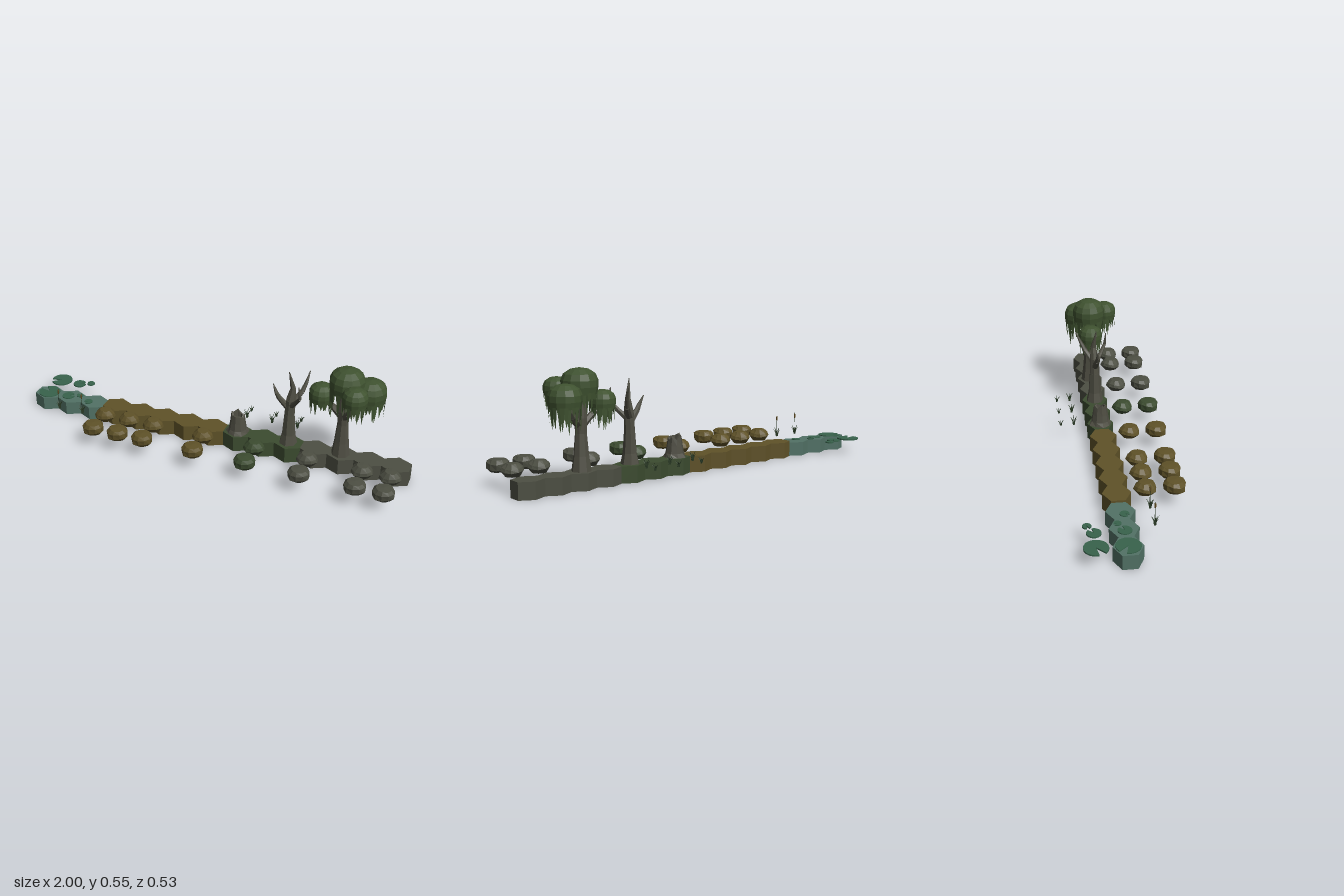
import * as THREE from 'three';
import { mergeGeometries } from 'three/addons/utils/BufferGeometryUtils.js';

function makeMaterial(name, color, side = THREE.FrontSide) {
  const m = new THREE.MeshStandardMaterial({ color, flatShading: true, side });
  m.name = name;
  return m;
}

// small seeded random
function seeded(seed) {
  return () => (seed = (seed * 16807) % 2147483647) / 2147483647;
}

// tapered limb through points [x, y, z, radius]
function limb(points, sides = 6) {
  const parts = [];
  const up = new THREE.Vector3(0, 1, 0);
  for (let i = 0; i + 1 < points.length; i++) {
    const [ax, ay, az, ar] = points[i];
    const [bx, by, bz, br] = points[i + 1];
    const a = new THREE.Vector3(ax, ay, az);
    const b = new THREE.Vector3(bx, by, bz);
    const dir = b.clone().sub(a);
    const g = new THREE.CylinderGeometry(br, ar, dir.length(), sides);
    g.applyQuaternion(new THREE.Quaternion().setFromUnitVectors(up, dir.clone().normalize()));
    g.translate((ax + bx) / 2, (ay + by) / 2, (az + bz) / 2);
    parts.push(g);
  }
  return mergeGeometries(parts);
}

// lathe whose vertices can be shifted by a rule of angle
function turned(profile, sides, rule) {
  const g = new THREE.LatheGeometry(profile.map(p => new THREE.Vector2(p[0], p[1])), sides);
  if (rule) {
    const p = g.attributes.position;
    for (let i = 0; i < p.count; i++) {
      const v = new THREE.Vector3().fromBufferAttribute(p, i);
      rule(v, Math.atan2(v.x, v.z));
      p.setXYZ(i, v.x, v.y, v.z);
    }
  }
  return g;
}

export function createModel() {
  const model = new THREE.Group();
  const water = makeMaterial('murky water', 0x527266);
  const lily = makeMaterial('lily green', 0x38634c);
  const mud = makeMaterial('mud brown', 0x5f5228);
  const moss = makeMaterial('moss green', 0x3c4c30);
  const stone = makeMaterial('stone grey', 0x4d4f43);
  const bark = makeMaterial('bark grey', 0x4e4d42);
  const foliage = makeMaterial('willow green', 0x3f5230, THREE.DoubleSide);
  const reed = makeMaterial('reed green', 0x2b3b26);
  const cattailBrown = makeMaterial('cattail brown', 0x5e4a22);

  const add = (name, geometry, material, x = 0, y = 0, z = 0) => {
    const mesh = new THREE.Mesh(geometry, material);
    mesh.name = name;
    mesh.position.set(x, y, z);
    model.add(mesh);
    return mesh;
  };

  const rowZ = -0.045;
  const step = 2 / 15;

  // row of hexagonal ground tiles
  for (let i = 0; i < 15; i++) {
    const mat = i < 3 ? water : i < 8 ? mud : i < 11 ? moss : stone;
    const h = i < 3 ? 0.07 : 0.08;
    const g = new THREE.CylinderGeometry(0.0667, 0.0667, h, 6);
    g.scale(2 / Math.sqrt(3), 1, 1);
    add('groundTile', g, mat, -1 + step * (i + 0.5), h / 2, rowZ);
  }

  // lily pads: x, z, radius, notch direction
  const pads = [
    [-0.933, -0.045, 0.056, 2.6], [-0.82, -0.045, 0.032, 0.5], [-0.765, -0.07, 0.018, 2],
    [-0.695, -0.03, 0.022, 4], [-0.933, -0.18, 0.055, 3.6], [-0.825, -0.178, 0.033, 0.5],
    [-0.77, -0.203, 0.02, 3.4],
  ];
  for (const [x, z, r, notch] of pads) {
    const s = new THREE.Shape();
    s.moveTo(0, 0);
    s.absarc(0, 0, r, notch + 0.3, notch + Math.PI * 2 - 0.3, false);
    s.lineTo(0, 0);
    const g = new THREE.ExtrudeGeometry(s, { depth: 0.007, bevelEnabled: false, curveSegments: 8 });
    g.rotateX(-Math.PI / 2);
    add('lilyPad', g, lily, x, 0.0675, z);
  }

  // boulders in two rows
  const blockProfile = [[0, 0.07], [0.034, 0.07], [0.05, 0.085], [0.052, 0.112], [0.038, 0.127], [0, 0.13]];
  const roundProfile = [[0, 0.07], [0.032, 0.07], [0.053, 0.095], [0.048, 0.11], [0.028, 0.129], [0, 0.13]];
  const lumpy = (v, a) => {
    const k = 1 + 0.05 * Math.sin(a * 3 + v.y * 50);
    v.x *= k;
    v.z *= k;
    v.y += v.y > 0.08 && v.y < 0.125 ? 0.005 * Math.sin(a * 2) : 0;
  };
  const boulders = [[0.085, turned(roundProfile, 10, lumpy)], [0.22, turned(blockProfile, 10, lumpy)]];
  for (const i of [3, 4, 5, 7, 9, 11, 13, 14]) {
    const mat = i < 8 ? mud : i < 11 ? moss : stone;
    for (const [z, g] of boulders) add('boulder', g, mat, -1 + step * (i + 0.5), 0, z);
  }

  // tufts of curved blades
  const tuft = (count, height, spread, thick) => {
    const blades = [];
    for (let i = 0; i < count; i++) {
      const a = (i / count) * Math.PI * 2;
      const c = Math.cos(a), s = Math.sin(a), h = height * (i % 2 ? 0.8 : 1);
      blades.push(limb([
        [c * 0.003, 0, s * 0.003, thick],
        [c * spread * 0.4, h * 0.6, s * spread * 0.4, thick * 0.8],
        [c * spread, h, s * spread, 0.0003],
      ], 3));
    }
    return mergeGeometries(blades);
  };
  const tallTuft = tuft(8, 0.046, 0.018, 0.0028);
  const shortTuft = tuft(6, 0.03, 0.016, 0.0026);
  for (const x of [0.133, 0.267, 0.4]) {
    add('tallGrass', tallTuft, reed, x, 0.08, -0.18);
    add('shortGrass', shortTuft, reed, x, 0.08, -0.246);
  }

  // cattails
  for (const x of [-0.8, -0.667]) {
    add('cattailLeaves', tallTuft, reed, x, 0.075, 0.087);
    add('cattailStem', new THREE.CylinderGeometry(0.001, 0.0014, 0.118, 5), reed, x, 0.132, 0.087);
    add('cattailHead', new THREE.CapsuleGeometry(0.004, 0.018, 2, 6), cattailBrown, x, 0.173, 0.087);
  }

  // hollow broken stump
  add('hollowStump', turned(
    [[0.056, 0.08], [0.045, 0.1], [0.039, 0.135], [0.033, 0.178], [0.023, 0.178], [0.02, 0.12], [0, 0.11]], 9,
    (v, a) => {
      if (v.y > 0.17) v.y += 0.009 * Math.sin(a * 4) - v.x * 0.25;
      if (v.y < 0.09) { v.x *= 1 + 0.1 * Math.sin(a * 4); v.z *= 1 + 0.1 * Math.sin(a * 4); }
    }), bark, 0.133, 0, rowZ);

  // bare dead tree
  const deadTree = [
    [[0, 0.08, 0, 0.045], [0, 0.13, 0, 0.034], [0, 0.24, 0, 0.026], [0.004, 0.32, 0, 0.024],
      [0.012, 0.38, -0.005, 0.014], [-0.006, 0.475, 0.01, 0.002]],
    [[0, 0.27, 0, 0.018], [-0.05, 0.325, 0.01, 0.013], [-0.065, 0.35, 0.012, 0.01], [-0.084, 0.392, 0.005, 0.002]],
    [[0, 0.29, 0, 0.018], [0.045, 0.35, -0.045, 0.012], [0.058, 0.39, -0.065, 0.009], [0.068, 0.445, -0.09, 0.002]],
    [[0, 0.28, 0, 0.015], [0.04, 0.33, 0.035, 0.011], [0.066, 0.37, 0.06, 0.008], [0.06, 0.435, 0.066, 0.002]],
  ];
  for (const path of deadTree) add('deadTreeLimb', limb(path, 7), bark, 0.395, 0, rowZ);

  // willow crowns: x, z, radius, top height
  const crowns = [
    [0.548, -0.05, 0.062, 0.44], [0.665, -0.047, 0.084, 0.545],
    [0.768, -0.091, 0.077, 0.485], [0.727, 0.044, 0.061, 0.502],
  ];

  // willow trunk and boughs
  add('willowTrunk', limb([[0, 0.08, 0, 0.046], [0, 0.15, 0, 0.036], [0, 0.25, 0, 0.027], [0, 0.32, 0, 0.029],
    [0, 0.46, 0, 0.018]], 8), bark, 0.66, 0, rowZ);
  for (const [x, z, r, top] of crowns) {
    add('willowBough', limb([[0.66, 0.28, rowZ, 0.02], [(x + 0.66) / 2, 0.33, (z + rowZ) / 2, 0.015],
      [x, top - r * 1.1, z, 0.009]]), bark);
  }

  // domed crowns with hanging strands
  const rand = seeded(77);
  for (const [x, z, r, top] of crowns) {
    const profile = [[0, -1.2], [0.93, -1.4], [1, -1], [0.99, -0.65], [0.85, -0.32], [0.5, -0.09], [0, 0]]
      .map(([a, b]) => [a * r, b * r]);
    add('willowCrown', turned(profile, 12), foliage, x, top, z);

    const strands = [];
    const count = 26;
    for (let i = 0; i < count; i++) {
      const a = (i / count) * Math.PI * 2;
      const inner = i % 3 === 0 ? 0.75 : 0.95;
      const length = r * (0.45 + rand() * 1.15);
      const g = new THREE.PlaneGeometry(r * 0.27, length, 1, 2);
      const p = g.attributes.position;
      // taper every strand to a point
      for (let k = 0; k < p.count; k++) {
        const t = 0.5 - p.getY(k) / length;
        p.setX(k, p.getX(k) * (t > 0.9 ? 0.06 : 1 - t * 0.6));
        p.setZ(k, -t * r * 0.06);
      }
      g.translate(0, -r * 1.28 - length / 2, r * inner);
      g.rotateY(a);
      strands.push(g);
    }
    add('hangingStrands', mergeGeometries(strands), foliage, x, top, z);
  }

  return model;
}
